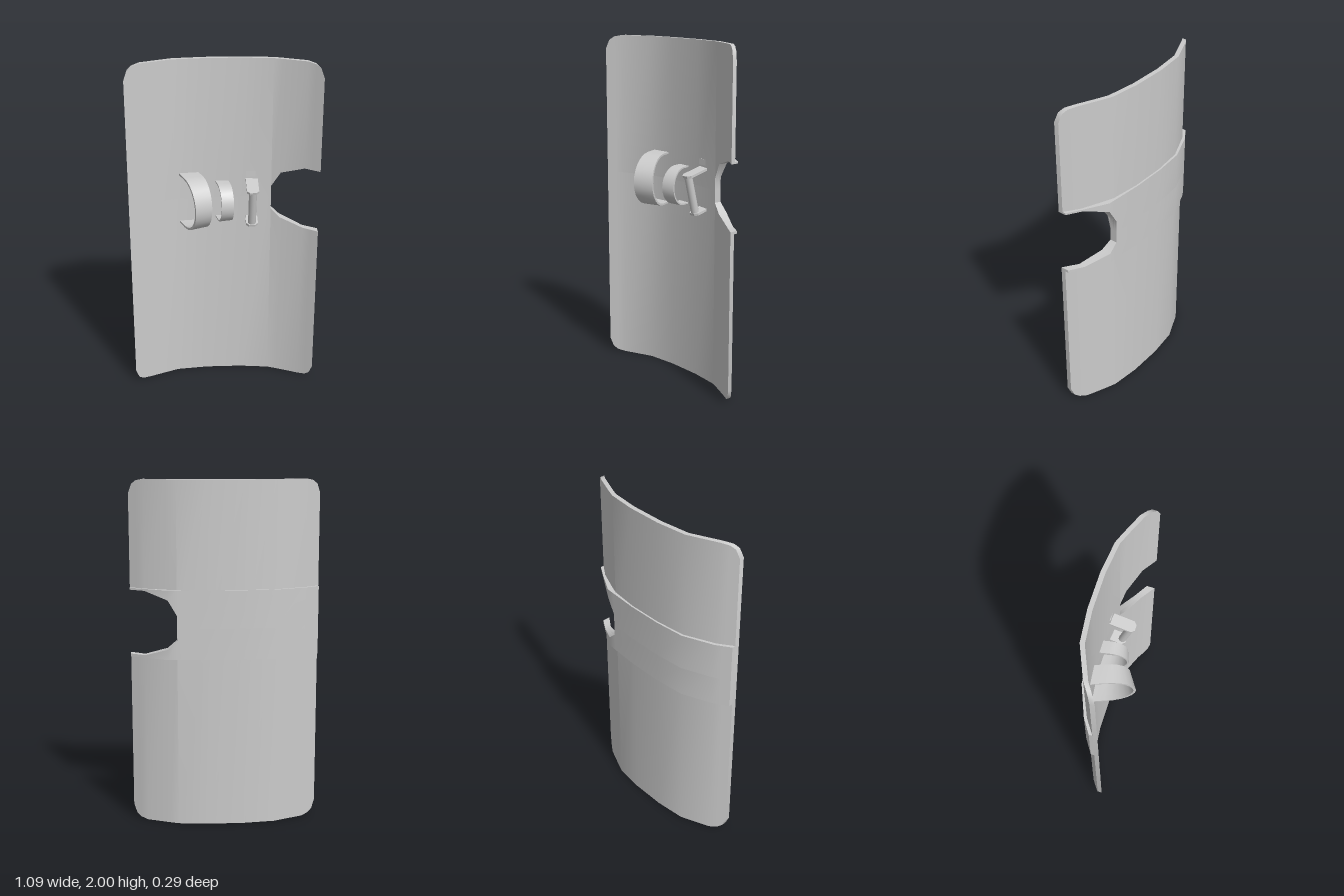
import * as THREE from 'three';
import { toCreasedNormals } from 'three/addons/utils/BufferGeometryUtils.js';

const material = new THREE.MeshStandardMaterial({ color: 0xcccccc });

// Curved profiles as [x, z]; the shield bows toward -z
const mirror = (half) => [...half.map(([x, z]) => [-x, z]).reverse(), ...half];
const FRONT = mirror([[0.105, -0.11], [0.285, -0.09], [0.46, -0.015], [0.543, 0.042]]);
const BACK = mirror([[0.105, -0.136], [0.285, -0.116], [0.46, -0.042], [0.543, 0.015]]);
const BAND_BACK = [[-0.543, -0.006], [-0.46, -0.06], [-0.285, -0.13], [-0.105, -0.146],
  [0.105, -0.146], [0.33, -0.13], [0.46, -0.057], [0.543, -0.006]];

function at(profile, x) {
  let i = 0;
  while (i < profile.length - 2 && x > profile[i + 1][0]) i++;
  const [x0, z0] = profile[i], [x1, z1] = profile[i + 1];
  return z0 + (z1 - z0) * (x - x0) / (x1 - x0);
}

// Solid through a row of four-cornered sections, capped at both ends
function loft(rings, name) {
  const pos = [];
  const tri = (a, b, c) => {
    const area = b.clone().sub(a).cross(c.clone().sub(a)).length();
    if (area > 1e-9) for (const p of [a, b, c]) pos.push(p.x, p.y, p.z);
  };
  const quad = (a, b, c, d) => { tri(a, b, c); tri(a, c, d); };
  for (let i = 0; i < rings.length - 1; i++) {
    for (let k = 0; k < 4; k++) {
      const n = (k + 1) % 4;
      quad(rings[i][k], rings[i + 1][k], rings[i + 1][n], rings[i][n]);
    }
  }
  quad(...rings[0]);
  quad(...[...rings[rings.length - 1]].reverse());
  const geo = new THREE.BufferGeometry();
  geo.setAttribute('position', new THREE.Float32BufferAttribute(pos, 3));
  const mesh = new THREE.Mesh(toCreasedNormals(geo, 0.6), material);
  mesh.name = name;
  return mesh;
}

// Curved slab from stations [x, low y, high y]
function slab(stations, back, front, name) {
  return loft(stations.map(([x, lo, hi]) => {
    const zb = back(x), zf = front(x);
    return [[lo, zb], [lo, zf], [hi, zf], [hi, zb]].map(([y, z]) => new THREE.Vector3(x, y, z));
  }), name);
}

// Side notch edges, [x, y], and the height where upper and lower halves meet
const SEAM = 1.17;
const NOTCH_LOW = [[0.278, SEAM], [0.278, 1.1], [0.33, 1.05], [0.46, 1.005], [0.5, 1.005], [0.525, 1.005], [0.543, 1.005]];
const NOTCH_HIGH = [[0.278, SEAM], [0.278, 1.243], [0.33, 1.332], [0.46, 1.377], [0.5, 1.377], [0.525, 1.377], [0.543, 1.377]];
const LEFT_X = [-0.543, -0.525, -0.5, -0.46, -0.285, -0.105, 0.105];

// Rounded outer corners
function inset(x) {
  const d = Math.max(0, Math.abs(x) - 0.463);
  return 0.08 - Math.sqrt(Math.max(0, 0.0064 - d * d));
}

function halves(lowEdge, highEdge, back, front, name) {
  const group = new THREE.Group();
  group.name = name;
  const path = (notch) => [...LEFT_X.map((x) => [x, SEAM]), ...notch];
  group.add(
    slab(path(NOTCH_LOW).map(([x, y]) => [x, lowEdge(x), y]), back, front, name + 'Lower'),
    slab(path(NOTCH_HIGH).map(([x, y]) => [x, y, highEdge(x)]), back, front, name + 'Upper'));
  return group;
}

// Arched arm strap; each edge is [base x, base z, tip x, tip z]
function strap(edge1, edge2, centerY, halfHeight, name) {
  const rings = [];
  const point = (e, u, v) => new THREE.Vector3(
    e[0] + (e[2] - e[0]) * u, centerY + halfHeight * v, e[1] + (e[3] - e[1]) * u);
  const section = (u, v) => {
    const ui = u > 0 ? u * 0.94 : u, vi = v * 0.93;
    rings.push([point(edge2, u, v), point(edge1, u, v), point(edge1, ui, vi), point(edge2, ui, vi)]);
  };
  section(-0.06, -1);
  for (let i = 0; i <= 12; i++) {
    const a = (i / 12 - 0.5) * Math.PI;
    section(0.32 + 0.68 * Math.cos(a), Math.sin(a));
  }
  section(-0.06, 1);
  return loft(rings, name);
}

// Tilted hand grip: bar between two chamfered arms
function handGrip() {
  const grip = new THREE.Group();
  grip.name = 'handGrip';
  const bar = new THREE.Mesh(new THREE.CylinderGeometry(0.023, 0.023, 0.225, 12), material);
  bar.name = 'gripBar';
  grip.add(bar);
  for (const [name, y, reach] of [['upperArm', 0.115, 0.125], ['lowerArm', -0.115, 0.08]]) {
    const outline = [[-0.035, reach], [-0.035, -0.006], [-0.018, -0.024],
      [0.018, -0.024], [0.035, -0.006], [0.035, reach]].map(([x, z]) => new THREE.Vector2(x, z));
    const geo = new THREE.ExtrudeGeometry(new THREE.Shape(outline), { depth: 0.014, bevelEnabled: false });
    geo.translate(0, 0, -0.007).rotateX(-Math.PI / 2);
    const arm = new THREE.Mesh(geo, material);
    arm.name = name;
    arm.position.y = y;
    grip.add(arm);
  }
  grip.position.set(0.165, 1.14, -0.015);
  grip.rotation.x = 0.24;
  return grip;
}

export function createModel() {
  const model = new THREE.Group();
  model.name = 'shield';
  const front = (x) => at(FRONT, x), back = (x) => at(BACK, x);

  // Main plate and the raised band across its back
  model.add(halves(inset, (x) => 2 - inset(x), back, front, 'plate'));
  model.add(halves(() => 0.99, () => 1.388, (x) => at(BAND_BACK, x), (x) => back(x) + 0.01, 'backBand'));

  // Straps and grip on the inner side
  model.add(strap([-0.256, -0.093, -0.163, 0.142], [-0.143, -0.105, -0.07, 0.08], 1.175, 0.155, 'forearmStrap'));
  model.add(strap([-0.045, -0.11, -0.013, 0.053], [0.03, -0.11, 0.057, 0.027], 1.16, 0.113, 'wristStrap'));
  model.add(handGrip());

  // Small mounting tab above the grip
  const tab = new THREE.Mesh(new THREE.BoxGeometry(0.065, 0.035, 0.012), material);
  tab.name = 'mountTab';
  tab.position.set(0.165, 1.315, -0.107);
  model.add(tab);
  return model;
}
